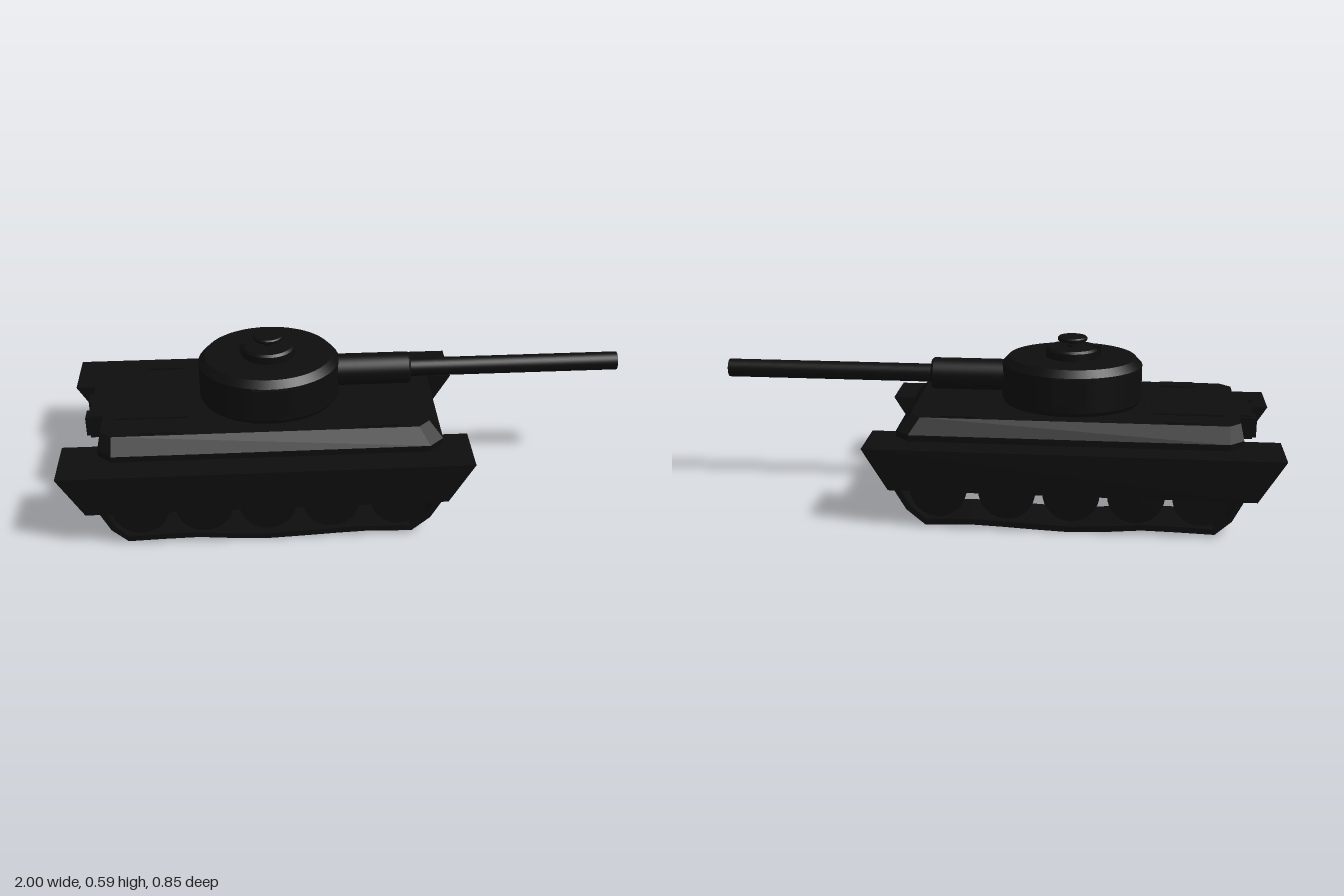
import * as THREE from 'three';

const mat = new THREE.MeshStandardMaterial({ color: 0x0d0d0d, flatShading: true, side: THREE.DoubleSide });
const smooth = new THREE.MeshStandardMaterial({ color: 0x0d0d0d });
const TX = -0.27; // turret axis
const GUN_Y = 0.443;

export function createModel() {
  const root = new THREE.Group();

  function add(name, geo, x = 0, y = 0, z = 0, m = mat, parent = root) {
    const mesh = new THREE.Mesh(geo, m);
    mesh.name = name;
    mesh.position.set(x, y, z);
    parent.add(mesh);
    return mesh;
  }
  const box = (name, x0, x1, y0, y1, z0, z1, parent) =>
    add(name, new THREE.BoxGeometry(x1 - x0, y1 - y0, z1 - z0),
      (x0 + x1) / 2, (y0 + y1) / 2, (z0 + z1) / 2, mat, parent);

  // Side profile in x/y, extruded between two z values
  function slab(name, pts, z0, z1, parent = root) {
    const shape = new THREE.Shape(pts.map(p => new THREE.Vector2(p[0], p[1])));
    const geo = new THREE.ExtrudeGeometry(shape, { depth: z1 - z0, bevelEnabled: false });
    return add(name, geo, 0, 0, z0, mat, parent);
  }

  // Stack of rectangles with cut corners: [y, xBack, xFront, halfWidth, cut]
  function loft(name, levels) {
    const rings = levels.map(([y, a, b, w, c]) => [
      [b, w - c], [b - c, w], [a + c, w], [a, w - c],
      [a, c - w], [a + c, -w], [b - c, -w], [b, c - w],
    ].map(([x, z]) => [x, y, z]));
    const pos = [];
    const tri = (...p) => p.forEach(v => pos.push(...v));
    for (let i = 0; i < rings.length - 1; i++) {
      for (let k = 0; k < 8; k++) {
        const n = (k + 1) % 8;
        const [a, b, c, d] = [rings[i][k], rings[i][n], rings[i + 1][n], rings[i + 1][k]];
        tri(a, c, b);
        tri(a, d, c);
      }
    }
    const top = rings[rings.length - 1];
    for (let k = 1; k < 7; k++) {
      tri(rings[0][0], rings[0][k], rings[0][k + 1]);
      tri(top[0], top[k + 1], top[k]);
    }
    const geo = new THREE.BufferGeometry();
    geo.setAttribute('position', new THREE.Float32BufferAttribute(pos, 3));
    geo.computeVertexNormals();
    return add(name, geo);
  }

  // Turned part built from straight, separately shaded profile segments
  function turned(name, profile, x, y, parent = root) {
    const g = new THREE.Group();
    g.name = name;
    g.position.set(x, y, 0);
    for (let i = 0; i < profile.length - 1; i++) {
      const pair = [profile[i], profile[i + 1]].map(p => new THREE.Vector2(p[0], p[1]));
      add(name + 'Surface', new THREE.LatheGeometry(pair, 48), 0, 0, 0, smooth, g);
    }
    parent.add(g);
    return g;
  }

  // Hull
  slab('lowerHull', [[-0.8, 0.135], [0.24, 0.135], [0.3, 0.19], [0.325, 0.29], [-0.87, 0.29], [-0.85, 0.19]], -0.22, 0.22);
  loft('upperHull', [
    [0.27, -0.87, 0.33, 0.325, 0.05],
    [0.305, -0.87, 0.33, 0.325, 0.05],
    [0.355, -0.86, 0.285, 0.275, 0.04],
  ]);
  for (const s of [-1, 1]) {
    for (const x of [-0.66, 0.11]) {
      box('deckHatch', x - 0.065, x + 0.065, 0.35, 0.36, s * 0.235 - 0.03, s * 0.235 + 0.03);
    }
  }
  box('enginePlate', -0.82, -0.56, 0.35, 0.36, -0.16, 0.16);

  // Rear stowage and exhaust blocks
  box('rearStowage', -0.91, -0.82, 0.27, 0.355, -0.14, 0.13);
  for (const z of [-0.125, -0.01, 0.105]) box('exhaustBlock', -0.922, -0.85, 0.28, 0.35, z - 0.028, z + 0.028);

  // Running gear on each side
  const path = [[-0.93, 0.23], [-0.87, 0.14], [-0.83, 0.062], [-0.775, 0.013], [-0.65, 0.017], [-0.53, 0.019],
    [-0.4, 0.008], [-0.29, 0.003], [-0.17, 0.008], [-0.05, 0.014], [0.06, 0.018], [0.21, 0.012],
    [0.275, 0.065], [0.32, 0.14], [0.36, 0.23]];
  const inner = path.map((p, i) => {
    const a = path[Math.max(i - 1, 0)], b = path[Math.min(i + 1, path.length - 1)];
    const dx = b[0] - a[0], dy = b[1] - a[1], l = Math.hypot(dx, dy);
    return [p[0] - dy / l * 0.02, p[1] + dx / l * 0.02];
  }).reverse();
  const fender = [[-0.91, 0.138], [0.335, 0.138], [0.425, 0.283], [-1, 0.283]];
  for (const s of [-1, 1]) {
    const side = new THREE.Group();
    side.name = s > 0 ? 'leftRunningGear' : 'rightRunningGear';
    const span = (a, b) => s > 0 ? [a, b] : [-b, -a];
    slab('fender', fender, ...span(0.215, 0.417), side);
    slab('sideSkirt', fender, ...span(0.417, 0.425), side);
    slab('track', [...path, ...inner], ...span(0.218, 0.41), side);
    for (const x of [-0.727, -0.508, -0.289, -0.07, 0.166]) {
      const wheel = new THREE.CylinderGeometry(0.097, 0.097, 0.17, 32).rotateX(Math.PI / 2);
      add('roadWheel', wheel, x, 0.137, s * 0.315, smooth, side);
      const hub = new THREE.CylinderGeometry(0.04, 0.04, 0.185, 20).rotateX(Math.PI / 2);
      add('wheelHub', hub, x, 0.137, s * 0.315, smooth, side);
    }
    root.add(side);
  }

  // Turret, slightly longer than wide
  const turret = turned('turret', [[0, 0.35], [0.24, 0.35], [0.252, 0.37], [0.252, 0.495], [0.228, 0.52], [0, 0.52]], TX, 0);
  turret.scale.z = 0.91;
  for (const s of [-1, 1]) {
    box('turretSidePlate', TX - 0.06, TX + 0.06, 0.398, 0.494, s * 0.225 - 0.015, s * 0.225 + 0.015);
  }

  // Commander's cupola with a round cap on a post
  turned('cupola', [[0.095, 0.515], [0.095, 0.547], [0.087, 0.555], [0, 0.555]], TX, 0);
  box('cupolaSight', -0.372, -0.345, 0.515, 0.562, -0.014, 0.014);
  add('postBase', new THREE.CylinderGeometry(0.017, 0.017, 0.008, 20), TX, 0.558, 0, smooth);
  add('post', new THREE.CylinderGeometry(0.005, 0.005, 0.03, 12), TX, 0.57, 0, smooth);
  turned('roundCap', [[0, 0.577], [0.049, 0.577], [0.053, 0.581], [0.053, 0.588], [0.049, 0.592], [0, 0.592]], TX, 0);

  // Gun, turned about the x axis
  const gun = new THREE.Group();
  gun.name = 'gun';
  gun.position.y = GUN_Y;
  gun.rotation.z = -Math.PI / 2;
  turned('mantlet', [[0.057, -0.1], [0.057, 0.232], [0.05, 0.24], [0, 0.24]], 0, 0, gun);
  turned('barrel', [[0.033, 0.2], [0.033, 1], [0.022, 1], [0.022, 0.9], [0, 0.9]], 0, 0, gun);
  root.add(gun);

  return root;
}
